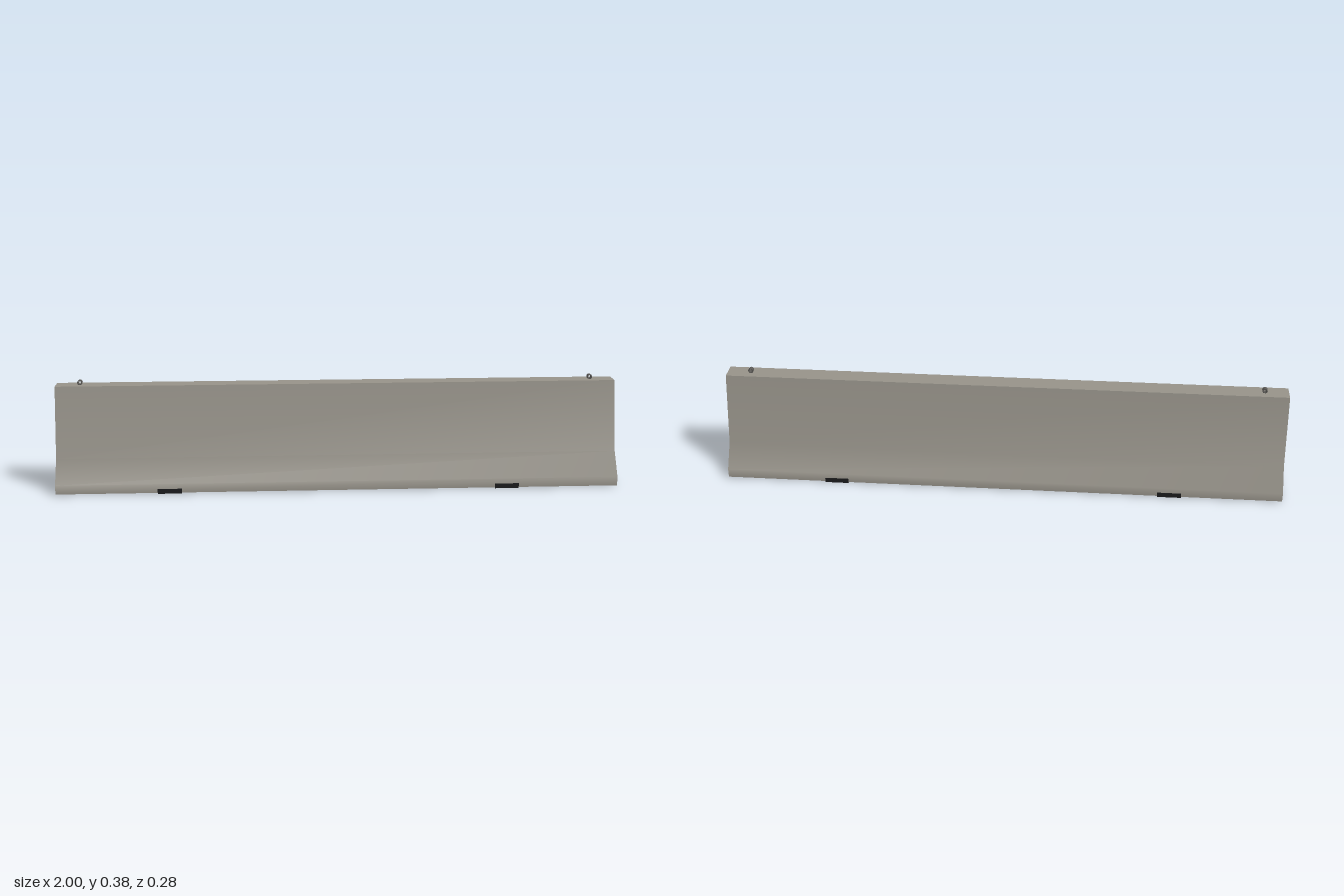
import * as THREE from 'three';

const concrete = new THREE.MeshStandardMaterial({ color: 0x97938a });
concrete.name = 'concrete grey';
const rubber = new THREE.MeshStandardMaterial({ color: 0x1c1c1e });
rubber.name = 'strap black';
const steel = new THREE.MeshStandardMaterial({ color: 0x5c5a57 });
steel.name = 'steel grey';

// half profile, bottom to top: [z, y]
const PROFILE = [[0.137, 0.003], [0.137, 0.035], [0.082, 0.117], [0.034, 0.368]];
const BASE = PROFILE[0], TOP = PROFILE[PROFILE.length - 1];

function add(parent, name, geometry, material, x = 0, y = 0, z = 0) {
  const mesh = new THREE.Mesh(geometry, material);
  mesh.name = name;
  mesh.position.set(x, y, z);
  parent.add(mesh);
  return mesh;
}

// long sloping face, shaded smoothly across its bends
function slopeGeometry() {
  const positions = [], index = [];
  PROFILE.forEach(([z, y], i) => {
    positions.push(-1, y, z, 1, y, z);
    if (i > 0) {
      const a = 2 * (i - 1);
      index.push(a, a + 1, a + 3, a, a + 3, a + 2);
    }
  });
  const geometry = new THREE.BufferGeometry();
  geometry.setAttribute('position', new THREE.Float32BufferAttribute(positions, 3));
  geometry.setIndex(index);
  geometry.computeVertexNormals();
  return geometry;
}

// flat end cap cut to the full profile
function endGeometry() {
  const left = PROFILE.map(([z, y]) => new THREE.Vector2(-z, y)).reverse();
  const right = PROFILE.map(([z, y]) => new THREE.Vector2(z, y));
  return new THREE.ShapeGeometry(new THREE.Shape([...right, ...left]));
}

// short hollow sleeve lying along z
function lugGeometry() {
  const ring = new THREE.Shape().absarc(0, 0, 0.009, 0, Math.PI * 2);
  ring.holes.push(new THREE.Path().absarc(0, 0, 0.0055, 0, Math.PI * 2, true));
  return new THREE.ExtrudeGeometry(ring, { depth: 0.016, bevelEnabled: false, curveSegments: 8 })
    .translate(0, 0, -0.008);
}

export function createModel() {
  const model = new THREE.Group();
  model.name = 'roadBarrier';

  // concrete body
  const body = new THREE.Group();
  body.name = 'body';
  model.add(body);
  add(body, 'frontSlope', slopeGeometry(), concrete);
  add(body, 'backSlope', slopeGeometry(), concrete).rotation.y = Math.PI;
  add(body, 'topFace', new THREE.PlaneGeometry(2, 2 * TOP[0]), concrete, 0, TOP[1]).rotation.x = -Math.PI / 2;
  add(body, 'underside', new THREE.PlaneGeometry(2, 2 * BASE[0]), concrete, 0, BASE[1]).rotation.x = Math.PI / 2;

  for (const side of [-1, 1]) {
    const label = side > 0 ? 'left' : 'right';
    add(body, label + 'End', endGeometry(), concrete, side).rotation.y = side * Math.PI / 2;
    // strap under the base, turned up slightly at both faces
    add(model, label + 'FootStrap', new THREE.BoxGeometry(0.085, 0.017, 0.278), rubber, side * 0.6, 0.0085);
    // lifting lug on top
    add(model, label + 'LiftingLug', lugGeometry(), steel, side * 0.915, 0.376);
  }
  return model;
}
